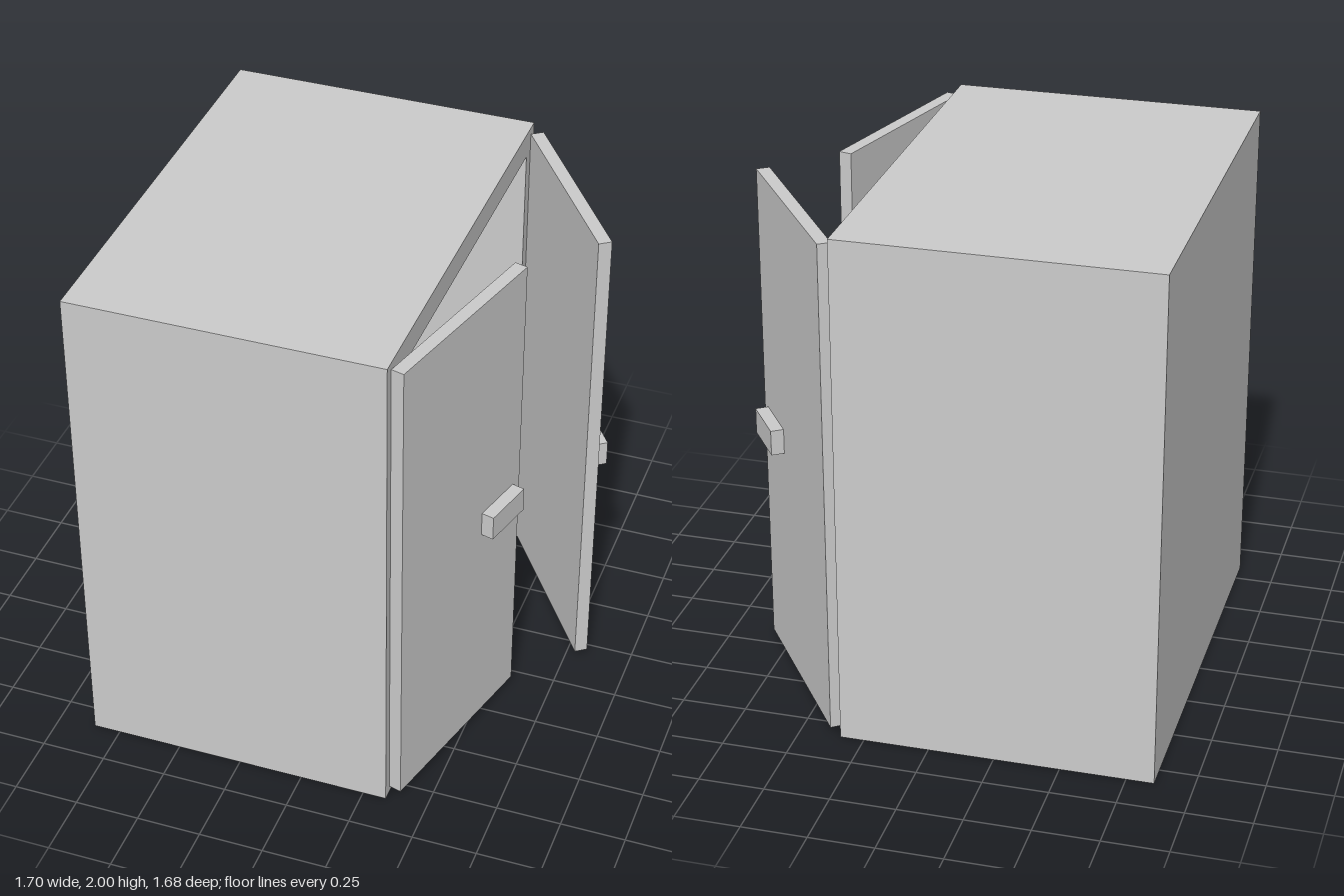
import * as THREE from 'three';

const material = new THREE.MeshStandardMaterial({ color: 0xcccccc });

const HEIGHT = 2, WIDTH = 1.685, BACK = -0.855, FRONT = 0.341;
const WALL = 0.1, SIDE = 0.09;

function box(name, size, position) {
  const mesh = new THREE.Mesh(new THREE.BoxGeometry(...size), material);
  mesh.name = name;
  mesh.position.set(...position);
  return mesh;
}

function rectangle(path, w, y0, y1) {
  path.moveTo(-w / 2, y0);
  path.lineTo(w / 2, y0);
  path.lineTo(w / 2, y1);
  path.lineTo(-w / 2, y1);
  path.closePath();
  return path;
}

// Hollow cabinet: a rectangular tube along x, closed at the back
function createCabinet() {
  const cabinet = new THREE.Group();
  cabinet.name = 'cabinet';
  const innerWidth = WIDTH - 2 * SIDE;
  const outline = rectangle(new THREE.Shape(), WIDTH, 0, HEIGHT);
  outline.holes.push(rectangle(new THREE.Path(), innerWidth, WALL, HEIGHT - WALL));
  const geometry = new THREE.ExtrudeGeometry(outline, { depth: FRONT - BACK, bevelEnabled: false });
  geometry.rotateY(Math.PI / 2);
  geometry.translate(BACK, 0, 0);
  const shell = new THREE.Mesh(geometry, material);
  shell.name = 'shell';
  cabinet.add(
    shell,
    box('backPanel', [WALL, HEIGHT - 2 * WALL, innerWidth], [BACK + WALL / 2, HEIGHT / 2, 0])
  );
  return cabinet;
}

// Door swung open about its hinge edge; side is +1 or -1 along z
function createDoor(name, side, openDegrees) {
  const length = 0.78, thickness = 0.051, doorHeight = 1.945;
  const door = new THREE.Group();
  door.name = name;
  door.add(
    box('panel', [length, doorHeight, thickness], [length / 2, 1, side * thickness / 2]),
    box('handle', [0.211, 0.1, 0.05], [0.63, 0.975, side * (thickness + 0.025)])
  );
  door.position.set(FRONT, 0, side * 0.802);
  door.rotation.y = side * THREE.MathUtils.degToRad(90 - openDegrees);
  return door;
}

export function createModel() {
  const model = new THREE.Group();
  model.name = 'cupboard';
  model.add(
    createCabinet(),
    createDoor('nearDoor', 1, 15),
    createDoor('farDoor', -1, 35)
  );
  return model;
}
